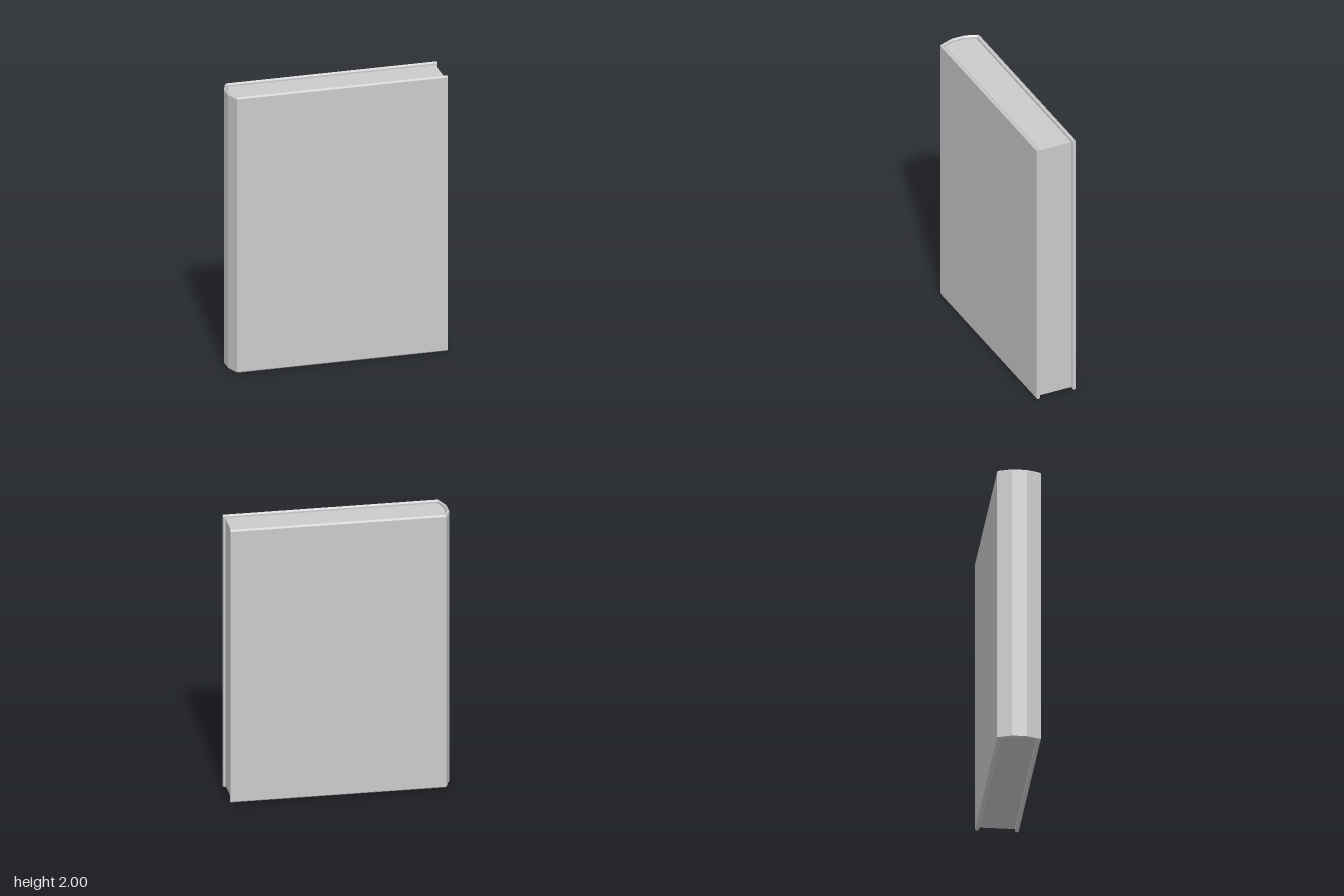
import * as THREE from 'three';

const HEIGHT = 2;
const BEVEL = 0.01;

// Half outlines [x, z] from fore edge to spine; the other half is mirrored.
const OUTER = [[0.76, 0.148], [-0.725, 0.148], [-0.761, 0.051]];
const INNER = [[0.76, 0.122], [-0.712, 0.122], [-0.74, 0.045]];
const PAGES = [[0.747, 0.119], [-0.71, 0.119], [-0.737, 0.044]];

const mirrored = (half) => [...half, ...half.map(([x, z]) => [x, -z]).reverse()];

// Wrap-around case: a board section with ridged top and bottom edges, swept along the outline.
function coverGeometry() {
  const outer = mirrored(OUTER);
  const inner = mirrored(INNER);
  const rings = outer.map(([ox, oz], i) => {
    const [ix, iz] = inner[i];
    const mx = (ox + ix) / 2, mz = (oz + iz) / 2;
    return [
      [ox, BEVEL, oz], [ox, HEIGHT - BEVEL, oz], [mx, HEIGHT, mz],
      [ix, HEIGHT - BEVEL, iz], [ix, BEVEL, iz], [mx, 0, mz],
    ];
  });
  const pos = [];
  const tri = (a, b, c) => pos.push(...a, ...b, ...c);
  const n = rings[0].length;
  for (let i = 0; i < rings.length - 1; i++) {
    for (let j = 0; j < n; j++) {
      const k = (j + 1) % n;
      const a = rings[i][j], b = rings[i + 1][j], c = rings[i + 1][k], d = rings[i][k];
      tri(b, a, d);
      tri(b, d, c);
    }
  }
  // Fore-edge end caps of the two boards
  const first = rings[0], last = rings[rings.length - 1];
  for (let j = 1; j < n - 1; j++) {
    tri(first[0], first[j + 1], first[j]);
    tri(last[0], last[j], last[j + 1]);
  }
  const geo = new THREE.BufferGeometry();
  geo.setAttribute('position', new THREE.Float32BufferAttribute(pos, 3));
  geo.computeVertexNormals();
  return geo;
}

// Solid page block, slightly shorter than the case.
function pagesGeometry() {
  const inset = 0.02;
  const shape = new THREE.Shape(mirrored(PAGES).map(([x, z]) => new THREE.Vector2(x, -z)));
  const geo = new THREE.ExtrudeGeometry(shape, { depth: HEIGHT - 2 * inset, bevelEnabled: false });
  geo.rotateX(-Math.PI / 2);
  geo.translate(0, inset, 0);
  return geo;
}

export function createModel() {
  const group = new THREE.Group();
  group.name = 'book';
  const material = new THREE.MeshStandardMaterial({ color: 0xcccccc, flatShading: true });
  const add = (name, geometry) => {
    const mesh = new THREE.Mesh(geometry, material);
    mesh.name = name;
    group.add(mesh);
  };
  add('cover', coverGeometry());
  add('pages', pagesGeometry());
  return group;
}
